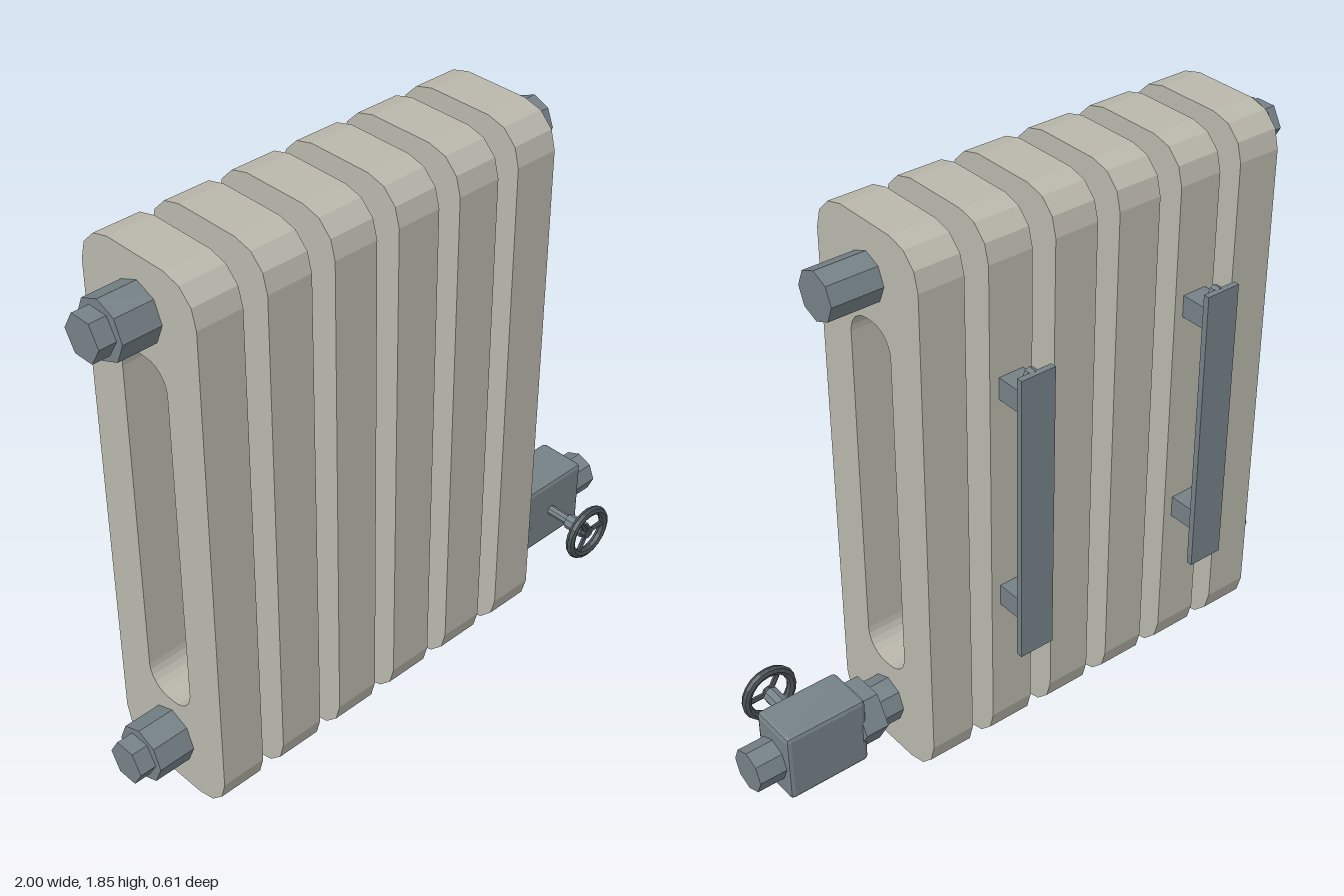
import * as THREE from 'three';
import { RoundedBoxGeometry } from 'three/addons/geometries/RoundedBoxGeometry.js';

const AXIS_Z = 0.045;          // depth of the pipe line
const PIPE_Y = [0.17, 1.68];   // lower and upper pipe heights
const COLUMNS = 6, PITCH = 0.2305, FIRST_X = -0.745, WIDTH = 0.15;

function material(name, color) {
  const m = new THREE.MeshStandardMaterial({ color, flatShading: true });
  m.name = name;
  return m;
}

// Corner points of a rounded rectangle centred on the origin
function roundedRect(w, h, r, steps) {
  const pts = [];
  [[1, 1], [-1, 1], [-1, -1], [1, -1]].forEach(([sx, sy], q) => {
    for (let i = 0; i <= steps; i++) {
      const a = (q + i / steps) * Math.PI / 2;
      pts.push(new THREE.Vector2(
        sx * (w / 2 - r) + r * Math.cos(a),
        sy * (h / 2 - r) + r * Math.sin(a)));
    }
  });
  return pts;
}

export function createModel() {
  const root = new THREE.Group();
  root.name = 'radiator';
  const cream = material('cream paint', 0xbab8ac);
  const steel = material('grey steel', 0x768287);
  const dark = material('dark iron', 0x485054);

  function add(name, geometry, mat, x, y, z, parent = root) {
    const mesh = new THREE.Mesh(geometry, mat);
    mesh.name = name;
    mesh.position.set(x, y, z);
    parent.add(mesh);
    return mesh;
  }
  // Prism lying along x between two ends
  function barX(name, x0, x1, r, sides, y, mat = steel) {
    const g = new THREE.CylinderGeometry(r, r, x1 - x0, sides).rotateZ(Math.PI / 2);
    return add(name, g, mat, (x0 + x1) / 2, y, AXIS_Z);
  }
  // Prism lying along z between two ends
  function barZ(name, z0, z1, r, sides, x, y, mat = steel, parent = root) {
    const g = new THREE.CylinderGeometry(r, r, z1 - z0, sides).rotateX(Math.PI / 2);
    return add(name, g, mat, x, y, (z0 + z1) / 2, parent);
  }

  // Slotted column sections
  const outline = new THREE.Shape(roundedRect(0.46, 1.85, 0.12, 3));
  outline.holes.push(new THREE.Path(roundedRect(0.185, 1.235, 0.08, 6).reverse()));
  const columnGeo = new THREE.ExtrudeGeometry(outline, { depth: WIDTH, bevelEnabled: false })
    .translate(0, 0, -WIDTH / 2).rotateY(Math.PI / 2);
  for (let i = 0; i < COLUMNS; i++) {
    add('column', columnGeo, cream, FIRST_X + i * PITCH, 0.925, AXIS_Z);
  }

  // Chamfered joint rings between the columns
  const ringGeo = new THREE.LatheGeometry([
    [0.07, -0.0275], [0.084, -0.0275], [0.093, -0.018],
    [0.093, 0.018], [0.084, 0.0275], [0.07, 0.0275],
  ].map(([r, y]) => new THREE.Vector2(r, y)), 10).rotateZ(Math.PI / 2);

  PIPE_Y.forEach((y, row) => {
    barX('pipe', -0.83, row ? 0.65 : 0.6, 0.077, 8, y);
    barX('endBushing', -0.945, -0.8, 0.093, 8, y);
    barX('endPlug', -1, -0.93, 0.07, 6, y);
    for (let i = 0; i < COLUMNS - 1; i++) {
      add('jointRing', ringGeo, dark, FIRST_X + (i + 0.5) * PITCH, y, AXIS_Z);
    }
  });

  // Valve on the lower pipe
  const vy = PIPE_Y[0] + 0.003, vx = 0.765;
  barX('valveCollar', 0.56, 0.64, 0.105, 6, PIPE_Y[0]);
  add('valveBody', new RoundedBoxGeometry(0.285, 0.245, 0.167, 1, 0.015), steel, vx, vy, AXIS_Z);
  barX('valveOutlet', 0.89, 1, 0.07, 8, PIPE_Y[0]);
  barZ('valveStem', 0.12, 0.22, 0.017, 8, vx, vy);
  barZ('valveSpindle', 0.21, 0.28, 0.027, 8, vx, vy);

  // Hand wheel with three spokes
  const wheel = new THREE.Group();
  wheel.name = 'handWheel';
  wheel.position.set(vx, vy, 0.29);
  root.add(wheel);
  const rim = new THREE.TorusGeometry(0.083, 0.0155, 8, 20);
  add('wheelRim', rim, dark, 0, 0, 0, wheel);
  barZ('wheelHub', -0.015, 0.008, 0.022, 8, 0, 0, dark, wheel);
  for (let i = 0; i < 3; i++) {
    const spoke = new THREE.CylinderGeometry(0.009, 0.009, 0.08, 6)
      .rotateZ(Math.PI / 2).translate(0.04, 0, 0);
    add('wheelSpoke', spoke, dark, 0, 0, 0, wheel).rotation.z = i * Math.PI * 2 / 3;
  }

  // Wall brackets behind the second and fifth columns
  for (const i of [1, 4]) {
    const x = FIRST_X + i * PITCH;
    const bracket = new THREE.Group();
    bracket.name = 'wallBracket';
    bracket.position.x = x;
    root.add(bracket);
    add('bracketPlate', new THREE.BoxGeometry(0.12, 0.985, 0.02), steel, 0, 0.928, -0.295, bracket);
    for (const y of [0.59, 1.328]) {
      add('bracketArm', new THREE.BoxGeometry(0.085, 0.073, 0.115), steel, 0, y, -0.233, bracket);
      barZ('bracketBolt', -0.29, -0.262, 0.02, 8, 0, y + 0.075, steel, bracket);
    }
  }
  return root;
}
